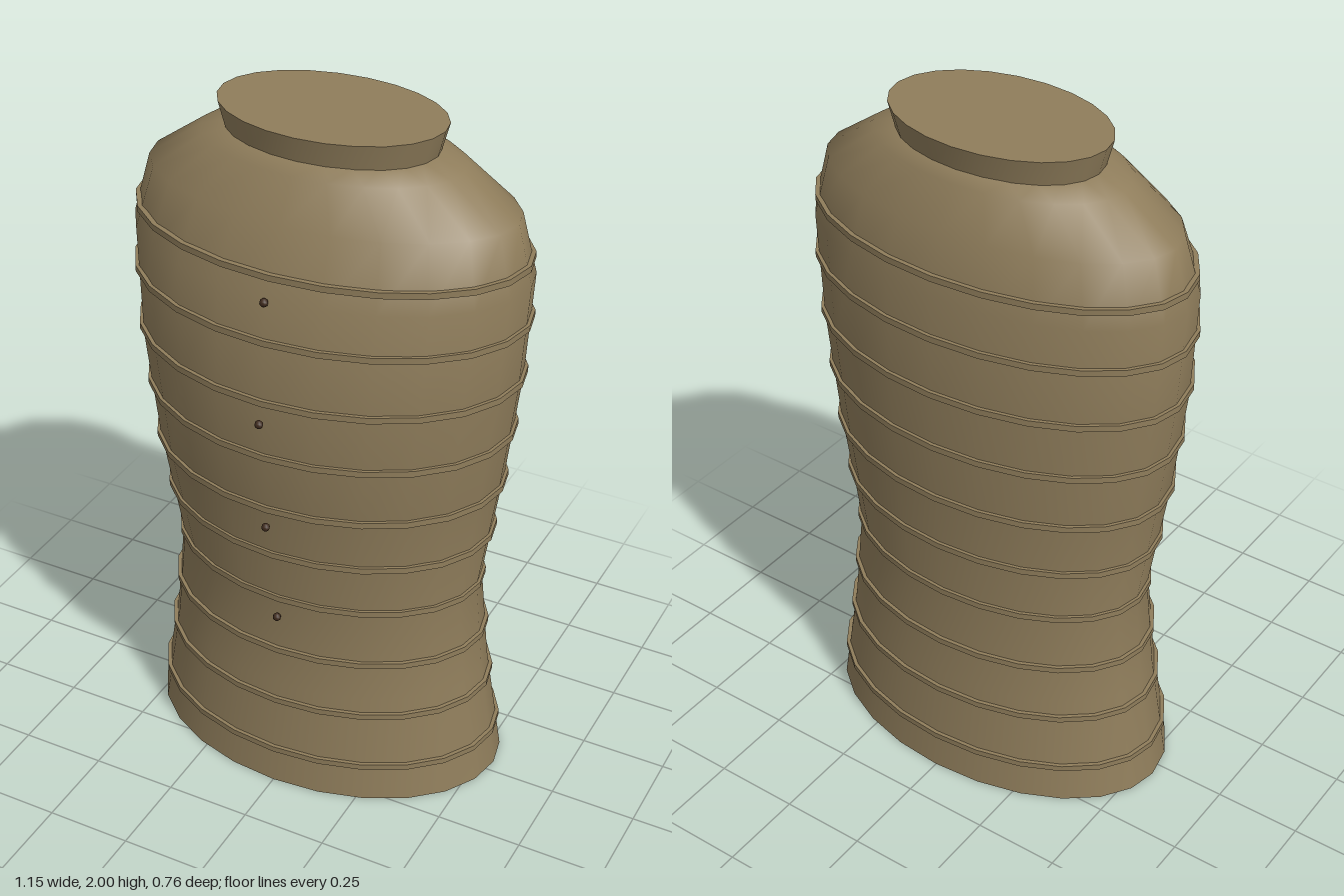
import * as THREE from 'three';
import { toCreasedNormals } from 'three/addons/utils/BufferGeometryUtils.js';

const SEGMENTS = 24;
const AXIS_Z = -0.04;

// Body sections: [height, half width, front z, back z]
const BODY = [
  [0, 0.545, 0.33, -0.375],
  [0.34, 0.49, 0.297, -0.343],
  [0.63, 0.463, 0.272, -0.318],
  [0.98, 0.515, 0.337, -0.343],
  [1.3, 0.553, 0.355, -0.353],
  [1.62, 0.573, 0.325, -0.348],
  [1.79, 0.53, 0.245, -0.305],
  [1.9, 0.375, 0.185, -0.25],
  [1.93, 0.29, 0.158, -0.23],
];

// Linear section of the body at height y
function sectionAt(y) {
  const i = BODY.findIndex((s, k) => k > 0 && s[0] >= y);
  const a = BODY[i - 1], b = BODY[i];
  const t = (y - a[0]) / (b[0] - a[0]);
  return a.map((v, k) => THREE.MathUtils.lerp(v, b[k], t));
}

// Closed loft through egg-shaped sections, capped at both ends
function loft(sections, crease) {
  const positions = [], index = [];
  for (const [y, rx, front, back] of sections) {
    for (let j = 0; j < SEGMENTS; j++) {
      const a = (j / SEGMENTS) * Math.PI * 2;
      const s = Math.sin(a);
      const depth = s > 0 ? front - AXIS_Z : AXIS_Z - back;
      positions.push(rx * Math.cos(a), y, AXIS_Z + depth * s);
    }
  }
  const last = (sections.length - 1) * SEGMENTS;
  const bottom = positions.length / 3, top = bottom + 1;
  positions.push(0, sections[0][0], AXIS_Z, 0, sections.at(-1)[0], AXIS_Z);
  for (let j = 0; j < SEGMENTS; j++) {
    const k = (j + 1) % SEGMENTS;
    for (let r = 0; r < last; r += SEGMENTS) {
      index.push(r + j, r + SEGMENTS + j, r + k, r + k, r + SEGMENTS + j, r + SEGMENTS + k);
    }
    index.push(bottom, j, k, top, last + k, last + j);
  }
  const geometry = new THREE.BufferGeometry();
  geometry.setAttribute('position', new THREE.Float32BufferAttribute(positions, 3));
  geometry.setIndex(index);
  return toCreasedNormals(geometry, crease);
}

export function createModel() {
  const model = new THREE.Group();
  model.name = 'torsoArmor';
  const cloth = new THREE.MeshStandardMaterial({ color: 0x8f7d5b });
  const dark = new THREE.MeshStandardMaterial({ color: 0x3f2b1e });
  const add = (name, geometry, material) => {
    const mesh = new THREE.Mesh(geometry, material);
    mesh.name = name;
    model.add(mesh);
    return mesh;
  };

  // Torso and flared collar
  add('torso', loft(BODY, 1.0), cloth);
  add('collar', loft([[1.925, 0.3, 0.155, -0.228], [2, 0.32, 0.17, -0.245]], 0.8), cloth);

  // Raised bands around the body
  const lip = 0.01, half = 0.009;
  for (let i = 0; i < 10; i++) {
    const y = 0.116 + i * 0.1729;
    const [, rx, front, back] = sectionAt(y);
    const ring = (h) => [h, rx + lip, front + lip, back - lip];
    add('band' + (i + 1), loft([ring(y - half), ring(y + half)], 0.8), cloth);
  }

  // Small studs down the front
  [[0.58, 0.293], [0.925, 0.348], [1.27, 0.374], [1.615, 0.336]].forEach(([y, z], i) => {
    add('stud' + (i + 1), new THREE.SphereGeometry(0.012, 8, 6), dark).position.set(0, y, z);
  });

  return model;
}
